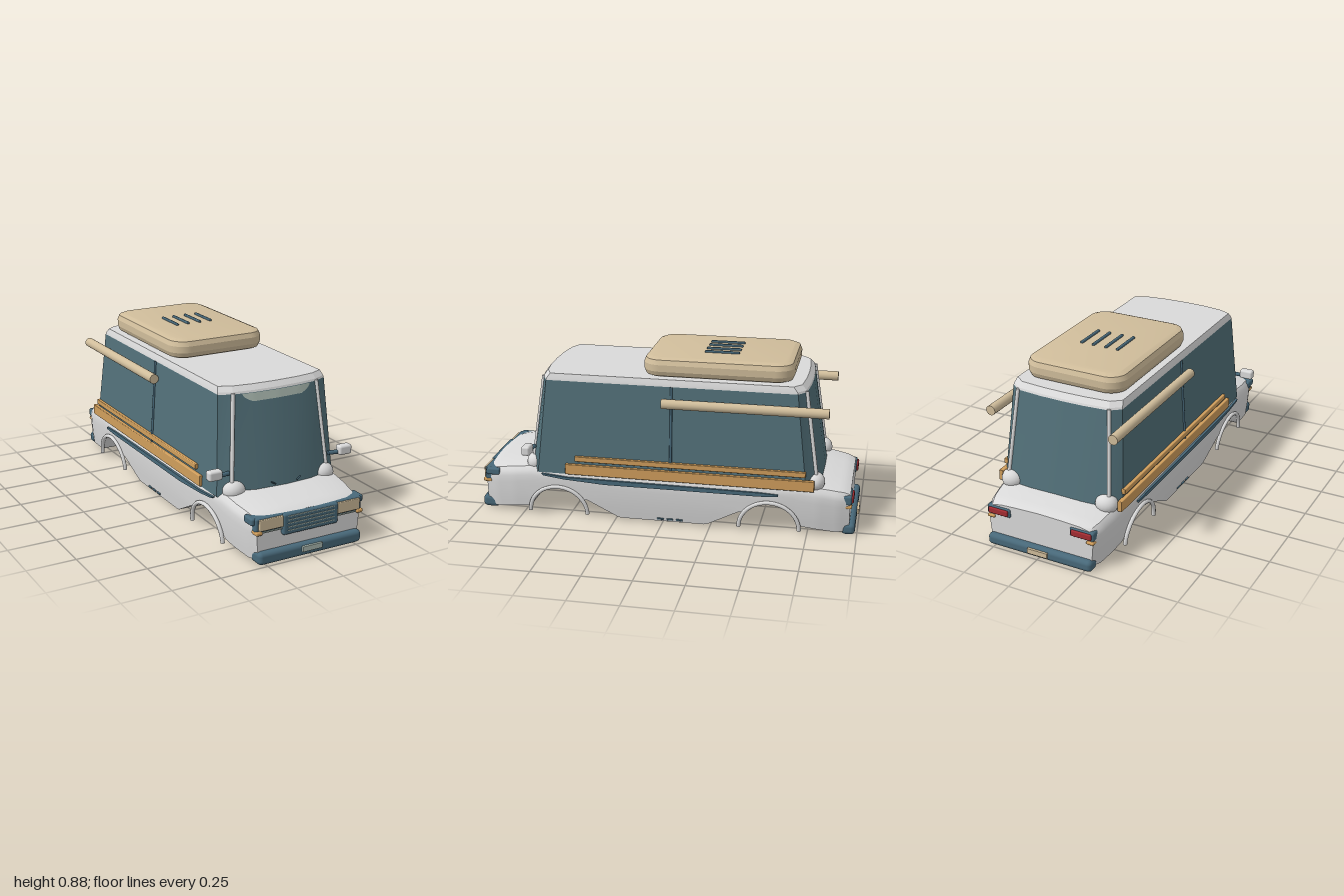
import * as THREE from 'three';
import { toCreasedNormals } from 'three/addons/utils/BufferGeometryUtils.js';
import { RoundedBoxGeometry } from 'three/addons/geometries/RoundedBoxGeometry.js';

const mat = (name, color, side = THREE.FrontSide) => {
  const m = new THREE.MeshStandardMaterial({ color, side });
  m.name = name;
  return m;
};

// Piecewise linear lookup through [key, value] pairs
function interp(pts, k) {
  if (k <= pts[0][0]) return pts[0][1];
  for (let i = 1; i < pts.length; i++) {
    const [a, va] = pts[i - 1], [b, vb] = pts[i];
    if (k <= b) return va + (vb - va) * (k - a) / (b - a);
  }
  return pts[pts.length - 1][1];
}

// Skin over closed rings, capped at both ends
function loft(rings, crease) {
  const n = rings[0].length, pos = [];
  const tri = (...p) => p.forEach(v => pos.push(...v));
  const mid = r => [0, 1, 2].map(k => r.reduce((s, p) => s + p[k], 0) / n);
  for (let i = 0; i < rings.length - 1; i++) {
    for (let j = 0; j < n; j++) {
      const k = (j + 1) % n, A = rings[i], B = rings[i + 1];
      tri(A[j], A[k], B[k], A[j], B[k], B[j]);
    }
  }
  const first = rings[0], last = rings[rings.length - 1];
  for (let j = 0; j < n; j++) {
    const k = (j + 1) % n;
    tri(mid(first), first[k], first[j]);
    tri(mid(last), last[j], last[k]);
  }
  const g = new THREE.BufferGeometry();
  g.setAttribute('position', new THREE.Float32BufferAttribute(pos, 3));
  return toCreasedNormals(g, crease);
}

// Half plans of the cabin, [x, z] from front centre to rear centre
const BASE_Y = 0.24, HEAD_Y = 0.735;
const basePlan = [[0, 0.755], [0.15, 0.742], [0.275, 0.705], [0.333, 0.66], [0.333, -0.74], [0.285, -0.795], [0.14, -0.812], [0, -0.815]];
const headPlan = [[0, 0.66], [0.13, 0.655], [0.235, 0.64], [0.30, 0.61], [0.30, -0.68], [0.25, -0.72], [0.12, -0.732], [0, -0.735]];
const planRing = (plan, y, f = 1) => [
  ...plan.map(([x, z]) => [x * f, y, z * f]),
  ...plan.slice(1, -1).reverse().map(([x, z]) => [-x * f, y, z * f]),
];
const cabinPoint = (i, y) => {
  const t = (y - BASE_Y) / (HEAD_Y - BASE_Y);
  return [0, 1].map(k => basePlan[i][k] + (headPlan[i][k] - basePlan[i][k]) * t);
};
const windscreenZ = (x, y) => interp([0, 1, 2, 3].map(i => cabinPoint(i, y)), Math.abs(x));

// Lower body outlines along its length
const widthAt = z => interp([[0, 0.335], [0.6, 0.335], [0.8, 0.325], [0.9, 0.31], [0.96, 0.29]], Math.abs(z));
const topAt = z => interp([[0, 0.27], [0.7, 0.278], [0.85, 0.258], [0.93, 0.244], [0.96, 0.23]], Math.abs(z));
const ARCH_Z = 0.555, ARCH_R = 0.15;
function bottomAt(z) {
  const a = Math.abs(z), d = a - ARCH_Z;
  const arch = Math.abs(d) < ARCH_R ? 0.02 + 0.94 * Math.sqrt(ARCH_R ** 2 - d * d) : 0;
  return Math.max(arch, interp([[0.23, 0.01], [0.4, 0.1], [0.55, 0.1], [0.72, 0.04], [0.9, 0.015], [0.96, 0.025]], a));
}
function bodyRing(z) {
  const w = widthAt(z), t = topAt(z), b = bottomAt(z), half = [];
  for (let i = 0; i <= 5; i++) {
    const y = b + (t - 0.06 - b) * i / 5;
    half.push([w * interp([[0.01, 0.95], [0.1, 0.985], [0.18, 1]], y), y]);
  }
  half.push([w * 0.985, t - 0.036], [w * 0.93, t - 0.016], [w * 0.75, t - 0.005], [w * 0.4, t]);
  return [
    ...half.map(([x, y]) => [x, y, z]),
    [0, t + 0.003, z],
    ...half.slice().reverse().map(([x, y]) => [-x, y, z]),
  ];
}

export function createModel() {
  const model = new THREE.Group();
  model.name = 'camperVan';
  const white = mat('bodyWhite', 0xdadada);
  const glass = mat('glassTeal', 0x527079);
  const trim = mat('trimTeal', 0x48697a);
  const tan = mat('canvasTan', 0xd0bd9b);
  const wood = mat('woodOrange', 0xd09e5c);
  const red = mat('lampRed', 0xa32c32);
  const pale = mat('paleGreen', 0xaebdb4, THREE.DoubleSide);

  const add = (name, geo, material, x = 0, y = 0, z = 0) => {
    const m = new THREE.Mesh(geo, material);
    m.name = name;
    m.position.set(x, y, z);
    model.add(m);
    return m;
  };
  // Box given by its limits on each axis
  const box = (name, material, [x0, x1], [y0, y1], [z0, z1], r = 0) => {
    const s = [x1 - x0, y1 - y0, z1 - z0];
    const g = r ? new RoundedBoxGeometry(...s, 2, r) : new THREE.BoxGeometry(...s);
    return add(name, g, material, (x0 + x1) / 2, (y0 + y1) / 2, (z0 + z1) / 2);
  };
  const rod = (name, material, a, b, r, sides = 12) => {
    const A = new THREE.Vector3(...a), d = new THREE.Vector3(...b).sub(A);
    const m = add(name, new THREE.CylinderGeometry(r, r, d.length(), sides), material);
    m.position.copy(A).addScaledVector(d, 0.5);
    m.quaternion.setFromUnitVectors(new THREE.Vector3(0, 1, 0), d.normalize());
    return m;
  };
  const span = (s, a, b) => s > 0 ? [a, b] : [-b, -a];

  // Lower body with wheel openings, glass cabin and roof
  const rings = [];
  for (let i = 0; i <= 96; i++) rings.push(bodyRing(-0.96 + i * 0.02));
  add('lowerBody', loft(rings, 0.6), white);
  add('cabinGlass', loft([planRing(basePlan, BASE_Y), planRing(headPlan, HEAD_Y)], 0.25), glass);
  add('roof', loft([planRing(headPlan, HEAD_Y), planRing(headPlan, 0.745, 0.995), planRing(headPlan, 0.77, 0.965)], 0.2), white);

  // Sun strip following the windscreen
  const strip = new THREE.PlaneGeometry(0.38, 0.04, 20, 4), p = strip.attributes.position;
  for (let i = 0; i < p.count; i++) {
    const v = 0.5 - p.getY(i) / 0.04, y = 0.734 - v * 0.04;
    const x = p.getX(i) * (1 - 0.28 * v * v);
    p.setXYZ(i, x, y, windscreenZ(x, y) + 0.004);
  }
  strip.computeVertexNormals();
  add('sunStrip', strip, pale);

  // Roof box: rounded plan with chamfered top and bottom edges
  const rr = 0.06, hx = 0.235, hz = 0.35, plan = new THREE.Shape();
  plan.absarc(hx - rr, hz - rr, rr, 0, Math.PI / 2);
  plan.absarc(-hx + rr, hz - rr, rr, Math.PI / 2, Math.PI);
  plan.absarc(-hx + rr, -hz + rr, rr, Math.PI, Math.PI * 1.5);
  plan.absarc(hx - rr, -hz + rr, rr, Math.PI * 1.5, Math.PI * 2);
  const boxGeo = new THREE.ExtrudeGeometry(plan, { depth: 0.034, bevelThickness: 0.034, bevelSize: 0.035, bevelSegments: 2, curveSegments: 6 });
  boxGeo.rotateX(-Math.PI / 2);
  add('roofBox', toCreasedNormals(boxGeo, 0.4), tan, 0, 0.803, -0.267);
  for (const x of [-0.1, -0.035, 0.035, 0.1]) box('roofBoxSlat', trim, [x - 0.007, x + 0.007], [0.868, 0.882], [-0.36, -0.18], 0.005);

  // Bumpers, plates and grille
  box('frontBumper', trim, [-0.29, 0.29], [0, 0.065], [0.9, 0.99], 0.022);
  box('rearBumper', trim, [-0.29, 0.29], [0, 0.06], [-0.99, -0.92], 0.022);
  box('frontPlate', pale, [-0.055, 0.055], [0.028, 0.055], [0.988, 1]);
  box('rearPlate', tan, [-0.055, 0.055], [0.022, 0.048], [-1, -0.988]);
  box('grille', trim, [-0.155, 0.155], [0.125, 0.232], [0.93, 0.98], 0.012);
  for (let i = 0; i < 5; i++) box('grilleSlat', pale, [-0.13, 0.13], [0.146 + i * 0.018, 0.15 + i * 0.018], [0.975, 0.983]);

  // Tapered side stripe drawn on the z-y plane
  const stripe = new THREE.Shape();
  stripe.moveTo(-0.64, 0.236);
  [[-0.5, 0.224], [0.5, 0.218], [0.6, 0.213], [0.6, 0.203], [0.5, 0.198], [-0.3, 0.198], [-0.52, 0.212], [-0.63, 0.226]].forEach(q => stripe.lineTo(...q));
  const stripeGeo = new THREE.ExtrudeGeometry(stripe, { depth: 0.014, bevelEnabled: false }).rotateY(Math.PI / 2);

  for (const s of [1, -1]) {
    // Front lamps
    box('headlampFrame', trim, span(s, 0.14, 0.298), [0.152, 0.232], [0.9, 0.966], 0.01);
    box('headlamp', tan, span(s, 0.152, 0.282), [0.17, 0.226], [0.95, 0.976], 0.004);
    box('lampTrim', pale, span(s, 0.155, 0.27), [0.157, 0.163], [0.96, 0.97]);
    box('cornerTrim', trim, span(s, 0.285, 0.315), [0.195, 0.232], [0.88, 0.955], 0.01);
    box('frontIndicator', wood, span(s, 0.265, 0.301), [0.15, 0.17], [0.93, 0.978], 0.008);
    // Rear lamps
    box('tailLampFrame', trim, span(s, 0.165, 0.297), [0.165, 0.213], [-0.968, -0.9], 0.01);
    box('tailLamp', red, span(s, 0.176, 0.285), [0.173, 0.205], [-0.977, -0.95], 0.006);
    box('rearIndicator', wood, span(s, 0.255, 0.296), [0.145, 0.162], [-0.97, -0.93], 0.007);
    // Pillars with rounded feet
    for (const [i, name] of [[2, 'frontPillar'], [5, 'rearPillar']]) {
      const [bx, bz] = cabinPoint(i, 0.27), [tx, tz] = cabinPoint(i, 0.74);
      rod(name, white, [s * bx, 0.27, bz], [s * tx, 0.74, tz], 0.01);
      const foot = add(name + 'Foot', new THREE.SphereGeometry(1, 20, 12), white, s * (bx - 0.018), 0.272, bz - Math.sign(bz) * 0.012);
      foot.scale.set(0.058, 0.05, 0.05);
    }
    rod('doorPost', trim, [s * 0.333, 0.25, -0.045], [s * 0.302, 0.735, -0.045], 0.007, 8);
    // Mirror and wiper
    box('mirror', white, span(s, 0.333, 0.407), [0.35, 0.4], [0.68, 0.725], 0.012);
    rod('mirrorArm', trim, [s * 0.285, 0.365, 0.69], [s * 0.345, 0.365, 0.7], 0.011);
    rod('wiper', trim, [s * 0.06, 0.289, 0.756], [s * 0.083, 0.302, 0.752], 0.004, 6);
    // Side planks, awning pole and stripe
    box('lowerPlank', wood, span(s, 0.322, 0.346), [0.242, 0.298], [-0.78, 0.51], 0.004);
    box('upperPlank', wood, span(s, 0.318, 0.342), [0.314, 0.342], [-0.735, 0.46], 0.004);
    rod('awningPole', tan, [s * 0.333, 0.655, 0], [s * 0.333, 0.655, -0.84], 0.025, 20);
    add('sideStripe', stripeGeo, trim, s > 0 ? 0.331 : -0.345);
    // Wheel arch trims and sill vents
    for (const z of [ARCH_Z, -ARCH_Z]) {
      const arch = add('wheelArch', new THREE.TorusGeometry(0.155, 0.011, 8, 28, Math.PI).rotateY(Math.PI / 2), white, s * 0.327, 0.02, z);
      arch.scale.y = 0.94;
      arch.rotation.z = -s * 0.09;
    }
    for (const z of [0.01, -0.04, -0.09]) box('sillVent', trim, span(s, 0.31, 0.326), [0.018, 0.028], [z - 0.018, z + 0.018], 0.004);
  }
  return model;
}
